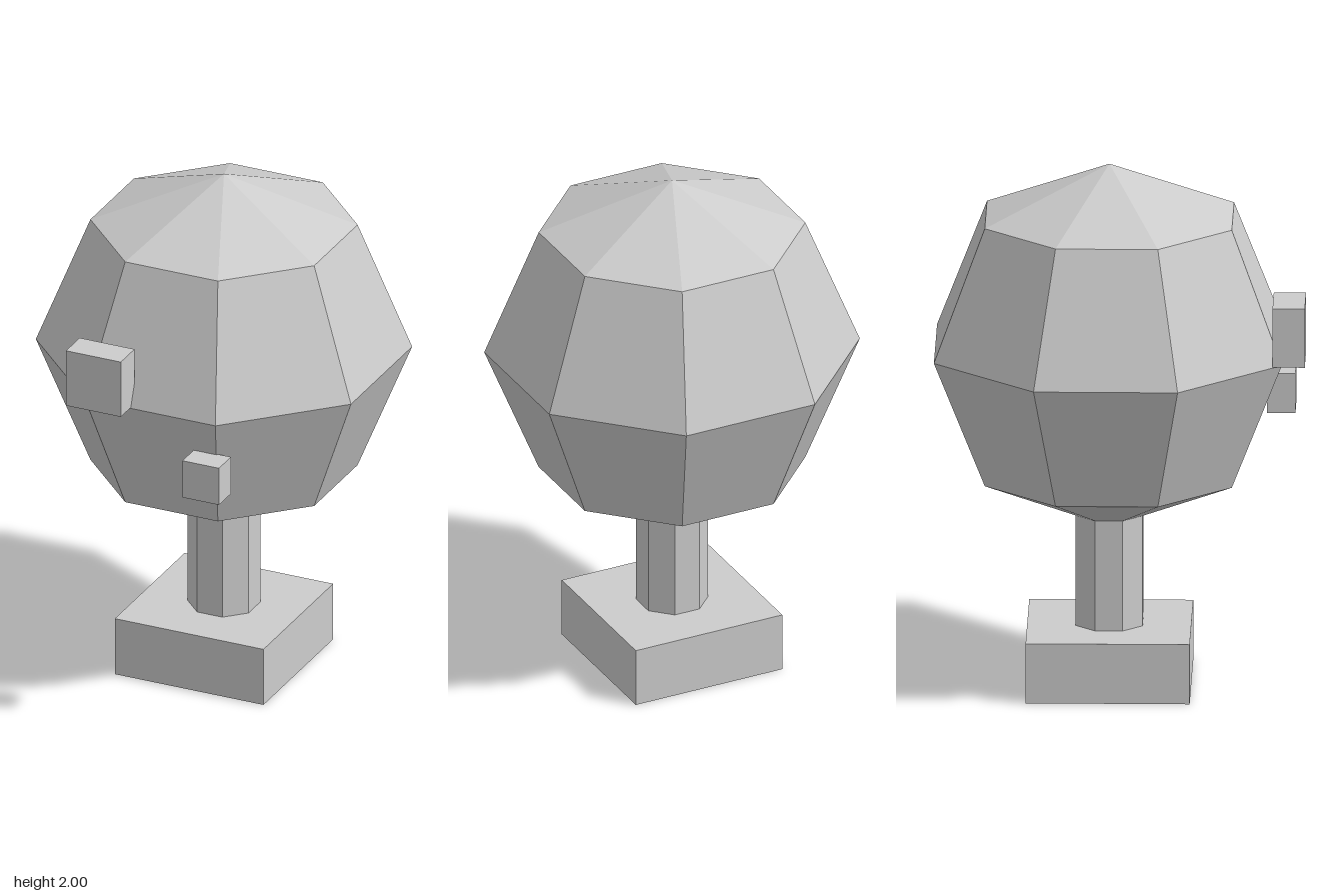
import * as THREE from 'three';

export function createModel() {
  const group = new THREE.Group();
  const grey = new THREE.MeshStandardMaterial({ color: 0xcccccc, flatShading: true });
  grey.name = 'plain grey';
  const axisZ = -0.043;

  const add = (name, geometry, x, y, z) => {
    const mesh = new THREE.Mesh(geometry, grey);
    mesh.name = name;
    mesh.position.set(x, y, z);
    group.add(mesh);
  };

  // Box given by its lower and upper corners
  const addBox = (name, x0, y0, z0, x1, y1, z1) =>
    add(name, new THREE.BoxGeometry(x1 - x0, y1 - y0, z1 - z0),
      (x0 + x1) / 2, (y0 + y1) / 2, (z0 + z1) / 2);

  // Square foot and eight-sided post
  addBox('base', -0.305, 0, axisZ - 0.305, 0.305, 0.23, axisZ + 0.305);
  add('post', new THREE.CylinderGeometry(0.135, 0.135, 0.427, 8, 1, false, Math.PI / 8), 0, 0.4425, axisZ);

  // Faceted head with a flat side towards the front
  const profile = [[0.135, 0.655], [0.497, 0.805], [0.7, 1.3], [0.497, 1.8], [0, 2]]
    .map(([r, y]) => new THREE.Vector2(r, y));
  add('head', new THREE.LatheGeometry(profile, 8, Math.PI / 8), 0, 0, axisZ);

  // Blocks on the front of the head
  addBox('upperBlock', -0.305, 1.303, 0.57, -0.08, 1.53, 0.69);
  addBox('lowerBlock', 0.152, 0.998, 0.54, 0.302, 1.15, 0.645);

  return group;
}
